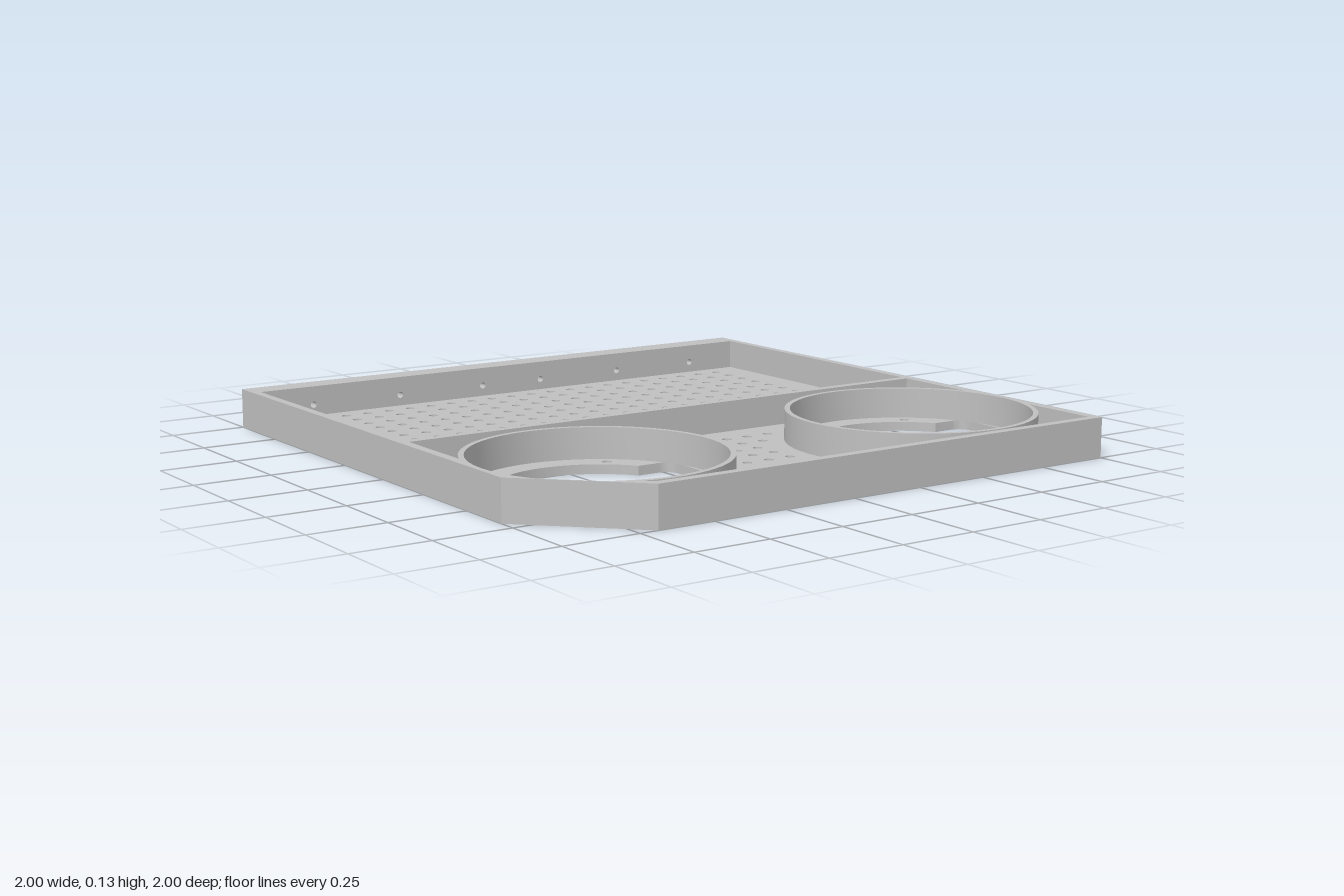
import * as THREE from 'three';
import { toCreasedNormals } from 'three/addons/utils/BufferGeometryUtils.js';

const FLOOR = 0.03, TOP = 0.13;
const RX = 0.597, RZ = 0.557;          // ring centres at (+-RX, RZ)
const R_OUT = 0.402, R_IN = 0.385, R_CUT = 0.307;
const PITCH = 0.0815, PIN = 0.0155;    // hole grid

const V = (x, z) => new THREE.Vector2(x, z);

// Points along an arc in the plan (x, z)
function arc(cx, cz, r, a0, a1, n) {
  const pts = [];
  for (let i = 0; i <= n; i++) {
    const a = a0 + (a1 - a0) * i / n;
    pts.push(V(cx + r * Math.cos(a), cz + r * Math.sin(a)));
  }
  return pts;
}
const circle = (cx, cz, r, n) => arc(cx, cz, r, 0, Math.PI * 2 * (n - 1) / n, n - 1);

// Solid with a plan outline between two heights
function slab(outline, holes, y0, y1) {
  const shape = new THREE.Shape(outline);
  holes.forEach(h => shape.holes.push(new THREE.Path(h)));
  const g = new THREE.ExtrudeGeometry(shape, { depth: y1 - y0, bevelEnabled: false });
  g.rotateX(Math.PI / 2).translate(0, y1, 0);
  return toCreasedNormals(g, 0.5);
}

// Round opening with a rounded slot across it
function cutout(cx) {
  const w = 0.373, h = 0.167, c = 0.04;
  const t = Math.asin(h / R_CUT), P = Math.PI;
  return [
    ...arc(cx, RZ, R_CUT, t, P - t, 32),
    ...arc(cx - w + c, RZ + h - c, c, P / 2, P, 6),
    ...arc(cx - w + c, RZ - h + c, c, P, P * 1.5, 6),
    ...arc(cx, RZ, R_CUT, P + t, 2 * P - t, 32),
    ...arc(cx + w - c, RZ - h + c, c, -P / 2, 0, 6),
    ...arc(cx + w - c, RZ + h - c, c, 0, P / 2, 6),
  ];
}

// Inside of a ring, kept just within the chamfered corner
function ringBore(cx) {
  return circle(cx, RZ, R_IN, 72).map(p => {
    const over = (p.y - p.x - 1.682) / 2;
    return over > 0 ? V(p.x + over, p.y - over) : p;
  });
}

function floorHoles() {
  const holes = [];
  const row = (z, count) => {
    for (let i = 0; i < count; i++) holes.push(circle((i - (count - 1) / 2) * PITCH, z, PIN, 14));
  };
  // Main perforated field
  for (let r = 0; r < 11; r++) row(-0.845 + r * PITCH, 22);
  // Field between the rings
  [8, 6, 4, 4, 4, 4].forEach((n, r) => row(0.215 + r * PITCH, n));
  row(0.867, 6);
  for (const s of [-1, 1]) {
    holes.push(circle(s * 0.11, 0.756, 0.075, 36));
    holes.push(cutout(s * RX));
    // Four screw holes around each opening
    for (const dx of [-0.213, 0.213])
      for (const z of [0.284, 0.831]) holes.push(circle(s * RX + dx, z, PIN, 14));
  }
  return holes;
}

// Front pocket: a rectangle bitten by both rings
function frontPocket() {
  const angle = (x, z, cx) => Math.atan2(z - RZ, x - cx);
  const a = angle(0.97, 0.407, RX);           // right-hand ring start
  const b = angle(-0.703, 0.945, -RX);        // next to the chamfer
  const c = angle(-0.97, 0.407, -RX);
  return [
    V(0.97, 0.11),
    ...arc(RX, RZ, R_OUT, a, -a - Math.PI * 2, 64),
    V(0.97, 0.97), V(-0.678, 0.97),
    ...arc(-RX, RZ, R_OUT, b, c, 56),
    V(-0.97, 0.11),
  ];
}

export function createModel() {
  const group = new THREE.Group();
  const grey = new THREE.MeshStandardMaterial({ color: 0xc0c0c0 });
  grey.name = 'grey';
  const add = (name, geometry) => {
    const mesh = new THREE.Mesh(geometry, grey);
    mesh.name = name;
    group.add(mesh);
    return mesh;
  };

  // Perforated floor with a chamfered corner
  add('floorPlate', slab(
    [V(-1, -1), V(1, -1), V(1, 1), V(-0.69, 1), V(-1, 0.69)],
    floorHoles(), 0, FLOOR));

  // Side walls, divider, front wall and both rings in one piece
  add('wallsAndRings', slab(
    [V(-1, -0.912), V(-0.972, -0.912), V(-0.972, 0.08), V(0.972, 0.08), V(0.972, -0.912),
      V(1, -0.912), V(1, 1), V(-0.69, 1), V(-1, 0.69)],
    [frontPocket(), ringBore(-RX), ringBore(RX)], FLOOR, TOP));

  // Thick back wall drilled from behind
  const back = new THREE.Shape([V(-1, FLOOR), V(1, FLOOR), V(1, TOP), V(-1, TOP)]);
  for (const x of [0.12, 0.45, 0.78])
    for (const s of [-1, 1]) back.holes.push(new THREE.Path(circle(s * x, 0.067, 0.011, 14)));
  const backGeometry = new THREE.ExtrudeGeometry(back, { depth: 0.088, bevelEnabled: false });
  add('backWall', toCreasedNormals(backGeometry.translate(0, 0, -1), 0.5));

  return group;
}
